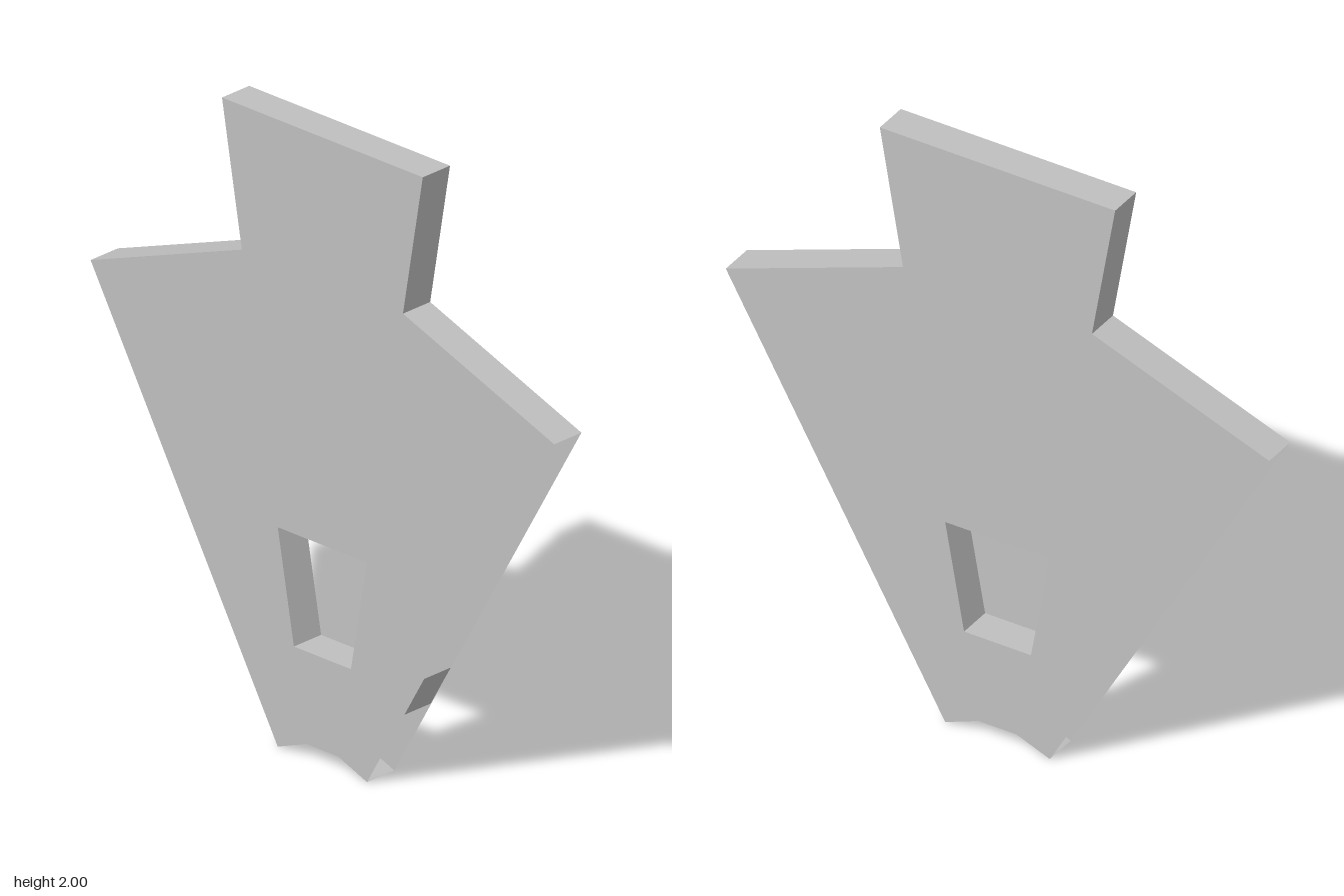
import * as THREE from 'three';

const HALF = 0.057; // half the plate thickness

// Wall strip along a path; its normals face right of the direction of travel.
function wallGeometry(path, smooth) {
  const positions = [];
  const index = [];
  for (const [x, y] of path) positions.push(x, y, HALF, x, y, -HALF);
  for (let i = 0; i < path.length - 1; i++) {
    const a = 2 * i;
    index.push(a, a + 1, a + 2, a + 1, a + 3, a + 2);
  }
  let geometry = new THREE.BufferGeometry();
  geometry.setAttribute('position', new THREE.Float32BufferAttribute(positions, 3));
  geometry.setIndex(index);
  if (!smooth) geometry = geometry.toNonIndexed();
  geometry.computeVertexNormals();
  return geometry;
}

export function createModel() {
  const group = new THREE.Group();
  const grey = new THREE.MeshStandardMaterial({ color: 0xbfbfbf, side: THREE.DoubleSide });
  grey.name = 'plain grey';

  const add = (name, geometry) => {
    const mesh = new THREE.Mesh(geometry, grey);
    mesh.name = name;
    group.add(mesh);
    return mesh;
  };

  // Counter-clockwise outline pieces and clockwise window
  const notch = [[-0.18, 0], [-0.065, 0.045], [0.065, 0.045], [0.18, 0]];
  const upper = [[0.935, 1.315], [0.325, 1.54], [0.405, 2], [-0.405, 2], [-0.325, 1.54], [-0.935, 1.315]];
  const hole = [[-0.18, 0.7], [0.18, 0.7], [0.115, 0.34], [-0.115, 0.34]];
  const toPoints = (list) => list.map(([x, y]) => new THREE.Vector2(x, y));

  // Front and back plates
  const shape = new THREE.Shape(toPoints([...notch, ...upper]));
  shape.holes.push(new THREE.Path(toPoints(hole)));
  add('frontPlate', new THREE.ShapeGeometry(shape)).position.z = HALF;
  const back = add('backPlate', new THREE.ShapeGeometry(shape));
  back.rotation.y = Math.PI; // the outline is symmetric
  back.position.z = -HALF;

  // Edge walls; the long slanted sides stay open apart from one short bridge
  add('shoulderAndNeckWall', wallGeometry(upper, false));
  add('windowWall', wallGeometry([...hole, hole[0]], false));
  add('bottomNotchWall', wallGeometry(notch, true));
  add('leftSideBridge', wallGeometry([[0.327, 0.26], [0.408, 0.4]], false));

  return group;
}
